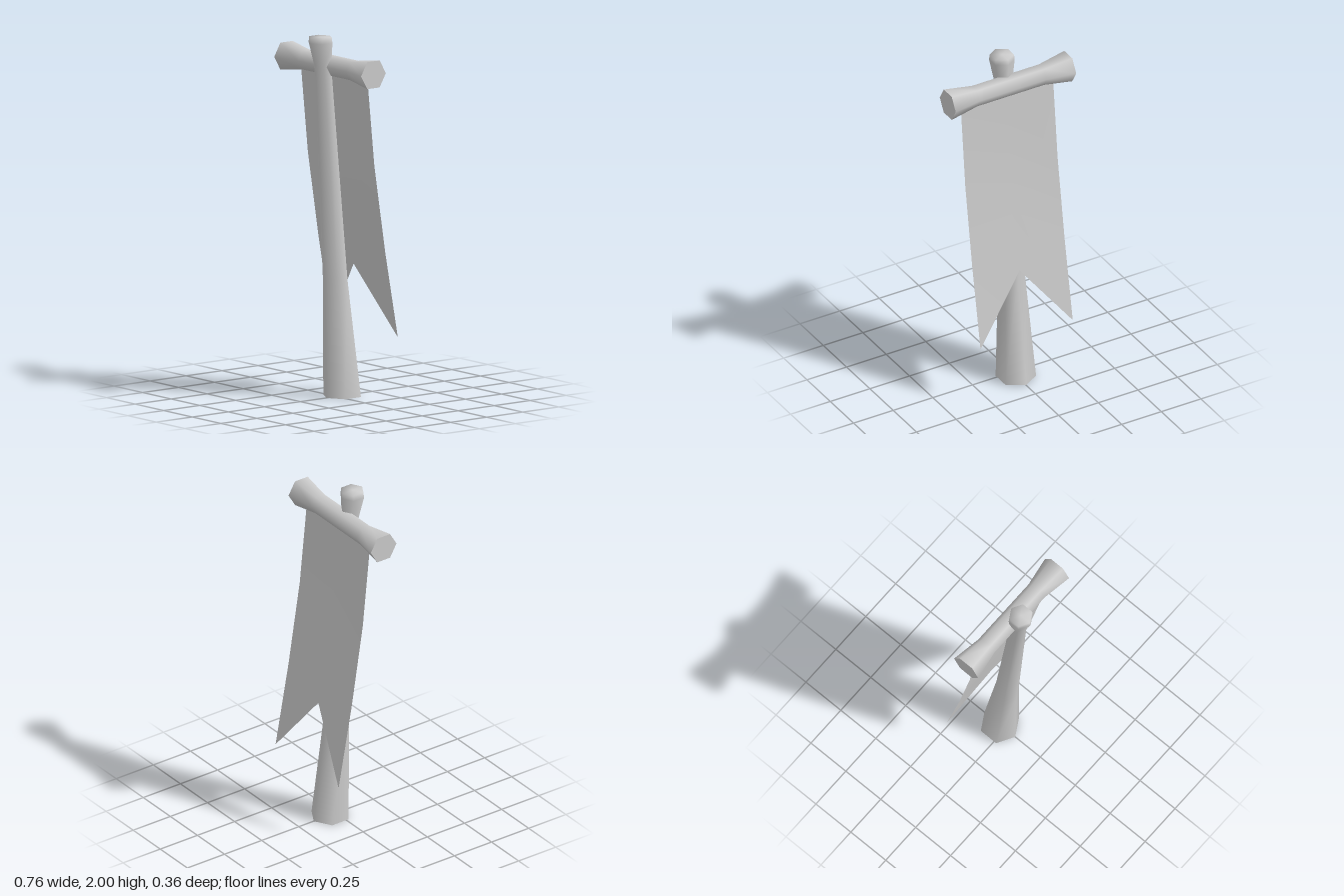
import * as THREE from 'three';
import { mergeVertices, toCreasedNormals } from 'three/addons/utils/BufferGeometryUtils.js';

const grey = new THREE.MeshStandardMaterial({ color: 0xcccccc });
const cloth = new THREE.MeshStandardMaterial({ color: 0xcccccc, side: THREE.DoubleSide });

// Six-sided shaft through sections [y, z centre, radius], listed from top to bottom
function hexShaft(sections) {
  const n = sections.length - 1;
  const geo = new THREE.CylinderGeometry(1, 1, 1, 6, n);
  const p = geo.attributes.position;
  for (let i = 0; i < p.count; i++) {
    const [y, z, r] = sections[Math.round((0.5 - p.getY(i)) * n)];
    p.setXYZ(i, p.getX(i) * r, y, z + p.getZ(i) * r);
  }
  geo.deleteAttribute('uv');
  geo.deleteAttribute('normal');
  // Smooth round the sides, sharp at flat ends
  return toCreasedNormals(mergeVertices(geo), 1.48);
}

export function createModel() {
  const group = new THREE.Group();
  const add = (name, geo, mat = grey) => {
    const mesh = new THREE.Mesh(geo, mat);
    mesh.name = name;
    group.add(mesh);
    return mesh;
  };

  // Forward-leaning post with a flared, slightly bevelled head
  add('post', hexShaft([
    [2.0, 0.11, 0.066],
    [1.97, 0.11, 0.07],
    [1.84, 0.095, 0.05],
    [0.65, 0.008, 0.072],
    [0, -0.04, 0.11],
  ]));

  // Crossbar with flared ends
  const bar = add('crossbar', hexShaft([
    [0.38, 0, 0.086],
    [0.21, 0, 0.058],
    [-0.21, 0, 0.058],
    [-0.38, 0, 0.086],
  ]));
  bar.rotation.z = Math.PI / 2;
  bar.position.set(0, 1.837, 0.044);

  // Swallow-tailed banner: three columns, the middle one shorter, drifting back
  const top = 1.8;
  const drift = [0.028, -0.02, -0.095, -0.183];
  const middleDrift = [0.028, 0, -0.053, -0.107];
  const banner = new THREE.PlaneGeometry(0.582, 1, 2, 3);
  const p = banner.attributes.position;
  for (let i = 0; i < p.count; i++) {
    const row = Math.floor(i / 3);
    const middle = i % 3 === 1;
    const bottom = middle ? 0.725 : 0.35;
    p.setXYZ(i, p.getX(i) + 0.016, top + (bottom - top) * row / 3, (middle ? middleDrift : drift)[row]);
  }
  banner.computeVertexNormals();
  add('banner', banner, cloth);

  return group;
}
